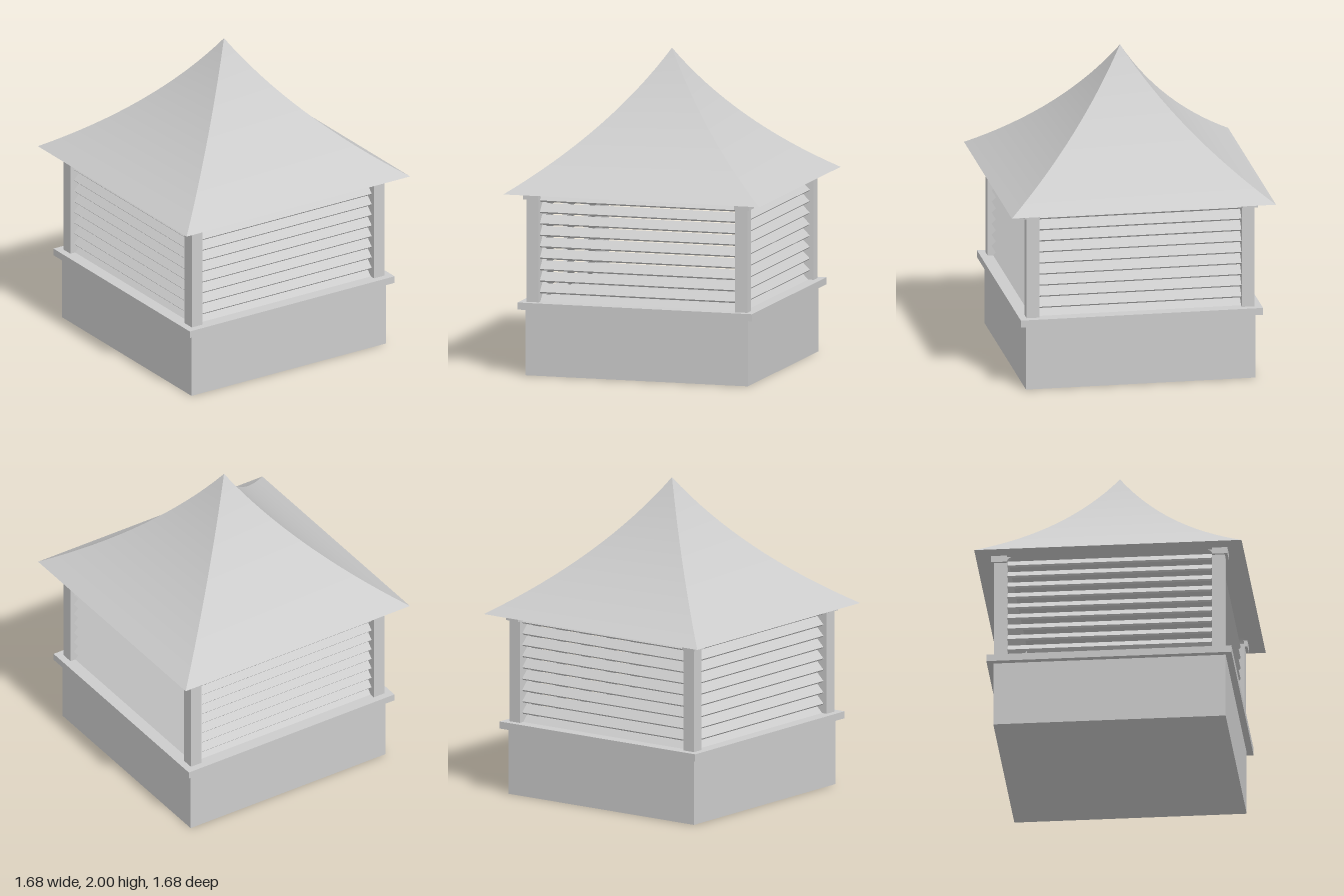
import * as THREE from 'three';

const grey = new THREE.MeshStandardMaterial({ color: 0xcccccc });

function add(parent, name, geometry, x = 0, y = 0, z = 0) {
  const mesh = new THREE.Mesh(geometry, grey);
  mesh.name = name;
  mesh.position.set(x, y, z);
  parent.add(mesh);
  return mesh;
}

// Box spanning y0..y1, centred on (x, z)
function slab(parent, name, width, y0, y1, x = 0, z = 0) {
  return add(parent, name, new THREE.BoxGeometry(width, y1 - y0, width), x, (y0 + y1) / 2, z);
}

// One concave roof side facing +z, swept along the eave-to-peak curve
function roofSide(steps = 16) {
  const curve = new THREE.QuadraticBezierCurve(
    new THREE.Vector2(0.84, 1.157), new THREE.Vector2(0.31, 1.505), new THREE.Vector2(0, 2));
  const positions = [], index = [];
  curve.getPoints(steps).forEach((p, i) => {
    positions.push(-p.x, p.y, p.x, p.x, p.y, p.x);
    const a = 2 * i;
    if (i < steps) index.push(a, a + 1, a + 3);
    if (i < steps - 1) index.push(a, a + 3, a + 2);
  });
  const geometry = new THREE.BufferGeometry();
  geometry.setAttribute('position', new THREE.Float32BufferAttribute(positions, 3));
  geometry.setIndex(index);
  geometry.computeVertexNormals();
  return geometry;
}

// Small coved bracket in the upper corner of an opening
function bracketGeometry() {
  const r = 0.042;
  const shape = new THREE.Shape();
  shape.moveTo(0, 0);
  shape.lineTo(0, -r);
  shape.absarc(-r, -r, r, 0, Math.PI / 2, false);
  shape.lineTo(0, 0);
  return new THREE.ExtrudeGeometry(shape, { depth: 0.03, bevelEnabled: false, curveSegments: 8 });
}

export function createModel() {
  const model = new THREE.Group();
  model.name = 'cupola';

  // Base and ledge
  slab(model, 'base', 1.46, 0, 0.42);
  slab(model, 'ledge', 1.54, 0.42, 0.465);

  // Corner posts with caps
  for (const sx of [-1, 1]) {
    for (const sz of [-1, 1]) {
      slab(model, 'post', 0.08, 0.465, 1.115, sx * 0.685, sz * 0.685);
      slab(model, 'postCap', 0.098, 1.115, 1.157, sx * 0.693, sz * 0.693);
    }
  }

  // Four identical sides: louvers, corner brackets and roof face
  const slat = new THREE.BoxGeometry(1.29, 0.07, 0.014);
  const bracket = bracketGeometry();
  const face = roofSide();
  for (let s = 0; s < 4; s++) {
    const side = new THREE.Group();
    side.name = 'side';
    side.rotation.y = s * Math.PI / 2;
    for (let i = 0; i < 10; i++) {
      add(side, 'louverSlat', slat, 0, 1.127 - i * 0.0725, 0.67).rotation.x = -Math.PI / 4;
    }
    add(side, 'bracket', bracket, 0.648, 1.156, 0.69);
    add(side, 'bracket', bracket, -0.648, 1.156, 0.72).rotation.y = Math.PI;
    add(side, 'roofFace', face);
    model.add(side);
  }

  // Flat underside of the roof
  add(model, 'soffit', new THREE.PlaneGeometry(1.68, 1.68), 0, 1.157, 0).rotation.x = Math.PI / 2;

  return model;
}
